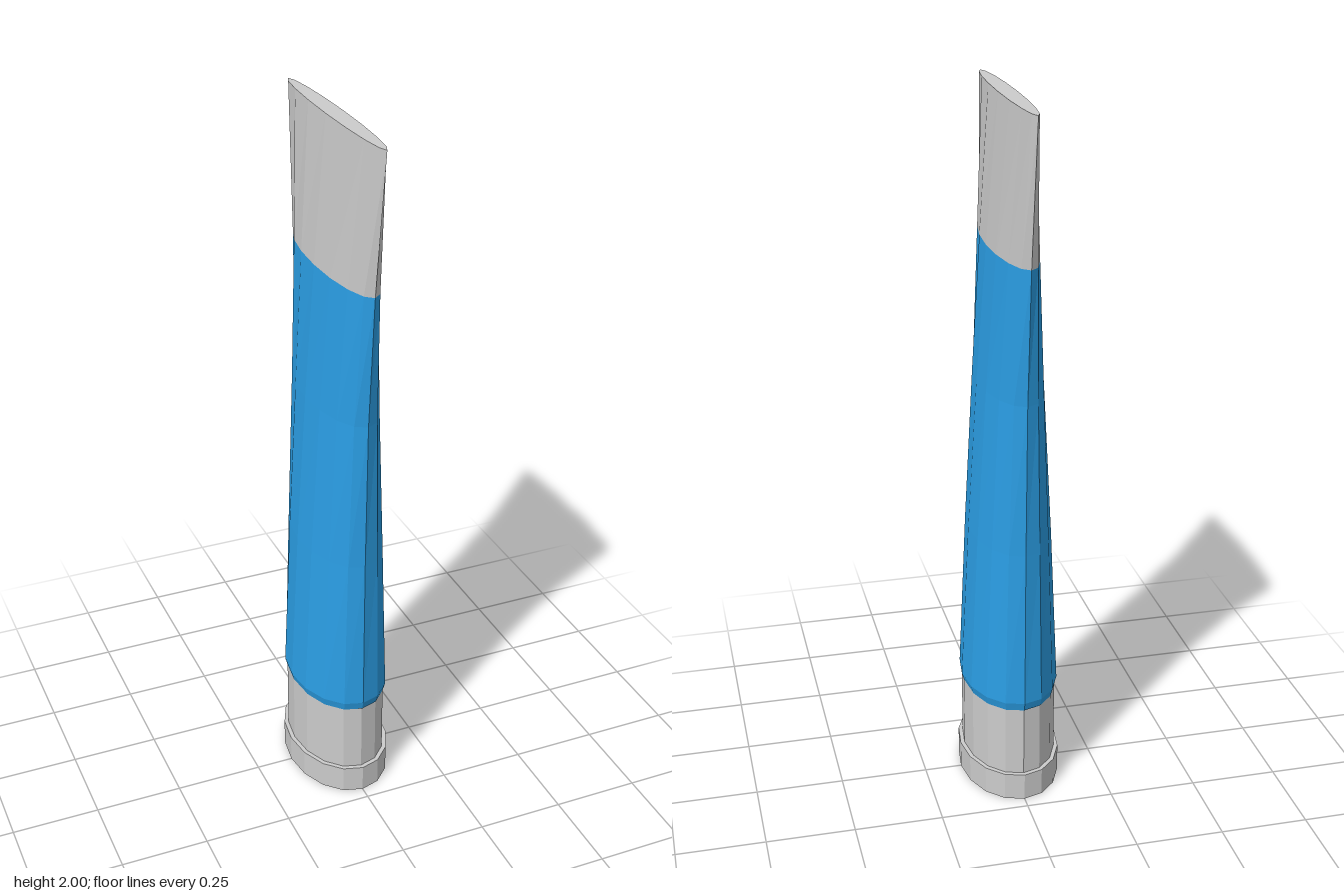
import * as THREE from 'three';

const SIDES = 16;

// Closed elliptical loft; each ring is [height, half width x, half depth z], bottom to top
function loft(name, rings, color) {
  const n = rings.length - 1;
  const geometry = new THREE.CylinderGeometry(1, 1, 1, SIDES, n);
  const pos = geometry.attributes.position;
  for (let i = 0; i < pos.count; i++) {
    const [y, rx, rz] = rings[Math.round((pos.getY(i) + 0.5) * n)];
    pos.setXYZ(i, pos.getX(i) * rx, y, pos.getZ(i) * rz);
  }
  geometry.computeVertexNormals();
  const mesh = new THREE.Mesh(
    geometry,
    new THREE.MeshStandardMaterial({ color, flatShading: true })
  );
  mesh.name = name;
  return mesh;
}

export function createModel() {
  const group = new THREE.Group();
  group.name = 'squeezeTube';

  // Cap with its wider rim at the foot
  group.add(loft('capRim', [[0, 0.143, 0.213], [0.08, 0.143, 0.213]], 0xcccccc));
  group.add(loft('cap', [[0.08, 0.131, 0.2], [0.295, 0.131, 0.2]], 0xcccccc));

  // Coloured body, narrowing in x while it widens in z
  group.add(loft('tubeBody', [
    [0.29, 0.13, 0.204],
    [0.315, 0.137, 0.211],
    [0.78, 0.114, 0.215],
    [1.22, 0.087, 0.227],
    [1.6, 0.059, 0.26],
  ], 0x2b9fe6));

  // Flattened crimp at the closed end
  group.add(loft('crimpedEnd', [[1.6, 0.059, 0.26], [2, 0.025, 0.318]], 0xcccccc));

  return group;
}
